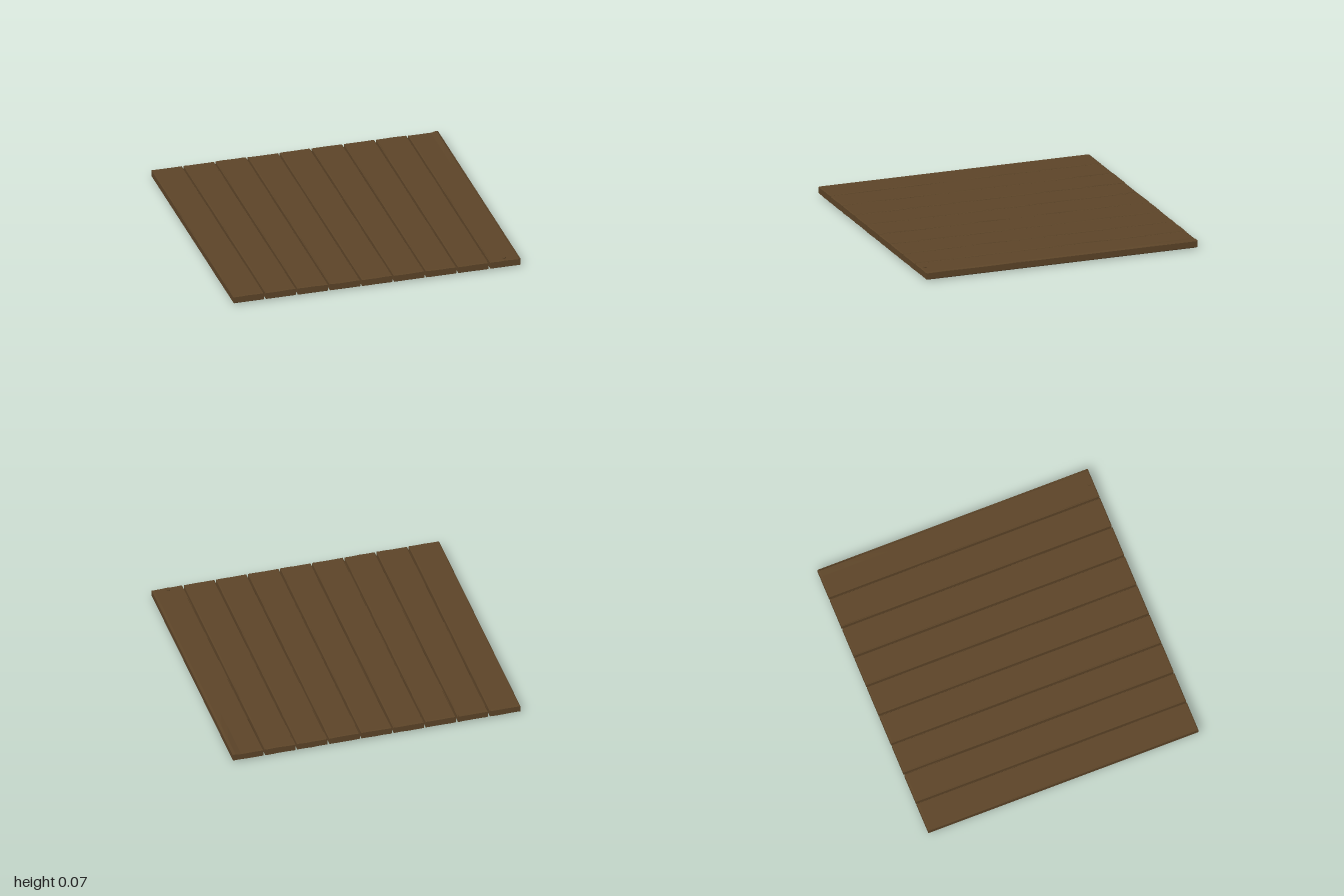
import * as THREE from 'three';

const COUNT = 9, PITCH = 0.2235, WIDTH = 0.212, LENGTH = 1.942;
const BOTTOM = 0.008, TOP = 0.06, HEIGHT = TOP - BOTTOM;
const COLS = 6, ROWS = 14, BEVEL = 0.006;

const wood = new THREE.MeshStandardMaterial({ color: 0x5c4428, flatShading: true });

// Small seeded noise, 0..1, the same for equal inputs
function noise(a, b, c) {
  const s = Math.sin(a * 12.99 + b * 78.23 + c * 37.72) * 43758.55;
  return s - Math.floor(s);
}

// Pulls the outermost inner row of segments out to the bevel line
function pullToBevel(i, segments, size) {
  if (i === 0) return -size / 2;
  if (i === segments) return size / 2;
  return -size / 2 + BEVEL + ((i - 1) / (segments - 2)) * (size - 2 * BEVEL);
}

// One board with worn edges and chipped back end
function createPlank(index) {
  const geometry = new THREE.BoxGeometry(WIDTH, HEIGHT, LENGTH, COLS, 3, ROWS);
  const p = geometry.attributes.position;
  for (let v = 0; v < p.count; v++) {
    const i = Math.round((p.getX(v) / WIDTH + 0.5) * COLS);
    const j = Math.round((p.getY(v) / HEIGHT + 0.5) * 3);
    const k = Math.round((p.getZ(v) / LENGTH + 0.5) * ROWS);
    let x = pullToBevel(i, COLS, WIDTH);
    let y = pullToBevel(j, 3, HEIGHT);
    let z = pullToBevel(k, ROWS, LENGTH);
    const side = i === 0 || i === COLS;
    const end = k === 0 || k === ROWS;

    // Worn long edges and ends, above and below
    if ((side || end) && (j === 0 || j === 3)) {
      const wear = 0.002 + 0.004 * noise(i + index * 7, j, k);
      y -= Math.sign(y) * wear;
      if (side) x -= Math.sign(x) * wear * 0.6;
    }
    // Deeper chips in the middle of some back ends
    if (j === 3 && k <= 1 && [0, 1, 3, 8].includes(index)) {
      const middle = Math.sin((i / COLS) * Math.PI);
      if (k === 0) y -= 0.01 * middle;
      else z += 0.007 * middle;
    }
    // Raised splinter along the outer back edge of the last board
    if (index === COUNT - 1 && j === 3 && i === COLS - 1) {
      x -= 0.01;
      y += 0.008 * THREE.MathUtils.smoothstep(-z, 0.45, 0.85);
    }
    p.setXYZ(v, x, y, z);
  }
  geometry.computeVertexNormals();
  const plank = new THREE.Mesh(geometry, wood);
  plank.name = `plank${index + 1}`;
  plank.position.set((index - (COUNT - 1) / 2) * PITCH, (TOP + BOTTOM) / 2, 0);
  return plank;
}

export function createModel() {
  const model = new THREE.Group();
  model.name = 'plankFloor';
  for (let i = 0; i < COUNT; i++) model.add(createPlank(i));

  // Peg driven through the front corner, showing on both faces
  const peg = new THREE.Mesh(new THREE.CylinderGeometry(0.012, 0.012, 0.068, 8), wood);
  peg.name = 'cornerPeg';
  peg.position.set(0.893, 0.034, 0.94);
  model.add(peg);
  return model;
}
